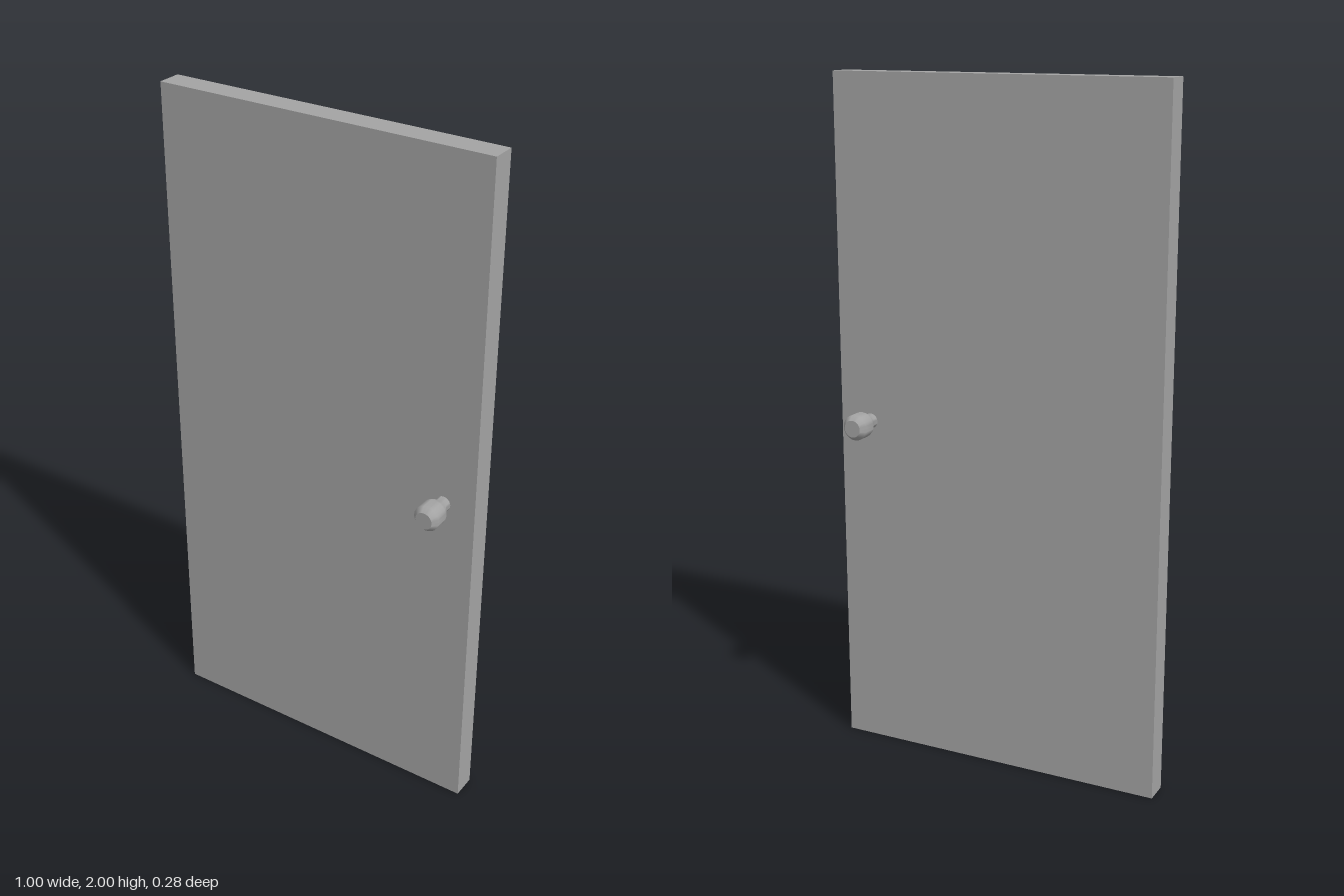
import * as THREE from 'three';
import { toCreasedNormals } from 'three/addons/utils/BufferGeometryUtils.js';

export function createModel() {
  const model = new THREE.Group();
  model.name = 'door';
  const material = new THREE.MeshStandardMaterial({ color: 0xa3a3a3 });

  // Plain slab
  const panel = new THREE.Mesh(new THREE.BoxGeometry(1, 2, 0.072), material);
  panel.name = 'panel';
  panel.position.y = 1;
  model.add(panel);

  // Turned knob: neck, flare, barrel, softened rim, flat end (radius, distance from door centre)
  const profile = [
    [0.022, 0.03], [0.022, 0.056], [0.036, 0.08],
    [0.0375, 0.086], [0.0375, 0.125], [0.025, 0.14], [0, 0.14],
  ].map(([r, d]) => new THREE.Vector2(r, d));
  const knobGeometry = toCreasedNormals(new THREE.LatheGeometry(profile, 24), Math.PI / 4);
  knobGeometry.rotateX(Math.PI / 2);

  // One knob on each face
  for (const [name, turn] of [['frontKnob', 0], ['backKnob', Math.PI]]) {
    const knob = new THREE.Mesh(knobGeometry, material);
    knob.name = name;
    knob.position.set(0.403, 1.006, 0);
    knob.rotation.y = turn;
    model.add(knob);
  }
  return model;
}
